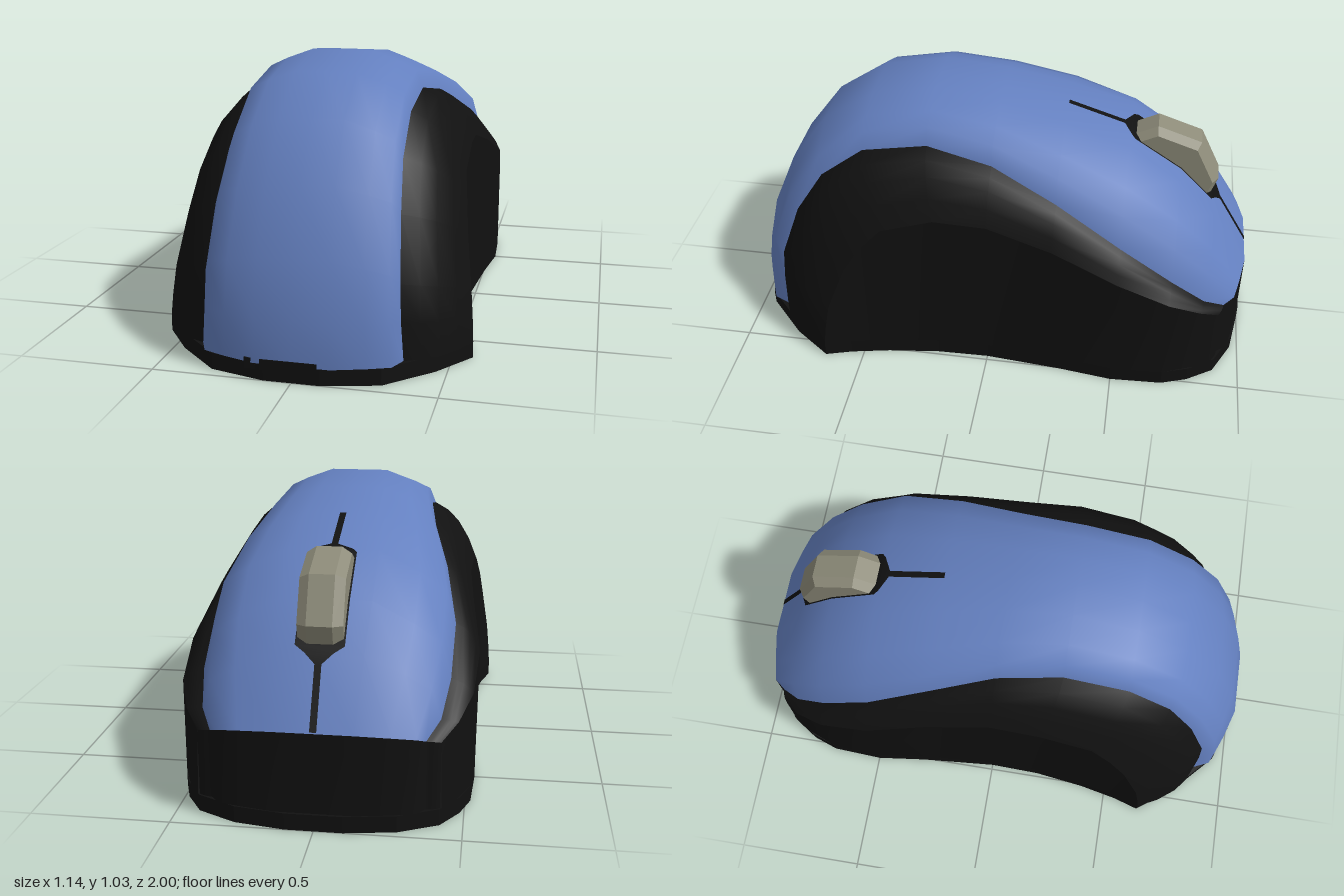
import * as THREE from 'three';

const BASE = 0.06;

// Stations from the heel, over the top, to the button end:
// spine [y, z], seam [x, y, z], crease [x, y, z]
const stations = [
  [[0.06, 1.0], [0.36, 0.06, 0.87], [0.57, 0.06, 0.65]],
  [[0.22, 0.998], [0.35, 0.2, 0.87], [0.565, 0.14, 0.64]],
  [[0.42, 0.95], [0.345, 0.33, 0.86], [0.555, 0.25, 0.62]],
  [[0.65, 0.85], [0.33, 0.55, 0.78], [0.53, 0.43, 0.55]],
  [[0.85, 0.7], [0.315, 0.72, 0.67], [0.515, 0.54, 0.48]],
  [[0.98, 0.5], [0.31, 0.85, 0.5], [0.5, 0.62, 0.4]],
  [[1.03, 0.25], [0.31, 0.895, 0.25], [0.495, 0.685, 0.2]],
  [[1.0, 0], [0.34, 0.85, 0], [0.485, 0.67, 0]],
  [[0.94, -0.25], [0.4, 0.745, -0.25], [0.505, 0.6, -0.25]],
  [[0.86, -0.5], [0.445, 0.6, -0.5], [0.535, 0.5, -0.5]],
  [[0.73, -0.7], [0.44, 0.46, -0.7], [0.52, 0.41, -0.7]],
  [[0.58, -0.85], [0.415, 0.36, -0.83], [0.475, 0.35, -0.82]],
  [[0.35, -0.99], [0.37, 0.31, -0.91], [0.42, 0.3, -0.89]],
];

// Half outline of the underside: [z, x]
const outline = [
  [-1, 0.1], [-0.97, 0.28], [-0.9, 0.42], [-0.8, 0.485], [-0.7, 0.52],
  [-0.5, 0.53], [-0.3, 0.505], [0, 0.48], [0.2, 0.485], [0.4, 0.51],
  [0.55, 0.54], [0.65, 0.57], [0.8, 0.46], [0.87, 0.385], [0.95, 0.3], [1, 0.1],
];

// Cross-section rules: [fraction of width, fraction of drop]
const crown = [[0, 0], [0.37, 0], [0.7, 0.28], [0.92, 0.52], [1, 1]];
const shoulder = [[0, 0], [0.3, 0.13], [0.55, 0.32], [0.8, 0.63], [1, 1]];

const sweep = (a, b, rule) => rule.map(([u, v]) => [
  a[0] + (b[0] - a[0]) * u,
  a[1] + (b[1] - a[1]) * v,
  a[2] + (b[2] - a[2]) * v,
]);
const mirrorRow = (row) => row.map(([x, y, z]) => [-x, y, z]).reverse();

// Piecewise linear lookup in a table sorted by its first entry
function lookup(table, t) {
  const i = Math.max(1, table.findIndex((p) => p[0] >= t));
  const [a, b] = [table[i - 1], table[i]];
  return a[1] + ((b[1] - a[1]) * (t - a[0])) / (b[0] - a[0]);
}

// Smooth surface through equal rows of points
function grid(rows, material, name) {
  const n = rows[0].length;
  const index = [];
  for (let k = 0; k < rows.length - 1; k++) {
    for (let j = 0; j < n - 1; j++) {
      const a = k * n + j;
      index.push(a, a + 1, a + n, a + 1, a + n + 1, a + n);
    }
  }
  const geometry = new THREE.BufferGeometry();
  geometry.setAttribute('position', new THREE.Float32BufferAttribute(rows.flat(2), 3));
  geometry.setIndex(index);
  geometry.computeVertexNormals();
  const mesh = new THREE.Mesh(geometry, material);
  mesh.name = name;
  return mesh;
}

export function createModel() {
  const group = new THREE.Group();
  group.name = 'computerMouse';
  const blue = new THREE.MeshStandardMaterial({ color: 0x6480c0, side: THREE.DoubleSide });
  const black = new THREE.MeshStandardMaterial({ color: 0x111111, side: THREE.DoubleSide });
  const wheelGrey = new THREE.MeshStandardMaterial({ color: 0x8e8c7a, flatShading: true });

  // Top shell: one strip from heel to button edge
  const halfRows = stations.map(([t, s]) => sweep([0, ...t], s, crown));
  const shellRows = halfRows.map((r) => [...mirrorRow(r), ...r.slice(1)]);
  group.add(grid(shellRows, blue, 'topShell'));

  // Rounded grips between the seam and the crease
  const gripRows = stations.map(([, s, c]) => sweep(s, c, shoulder));
  group.add(grid(gripRows, black, 'leftGrip'));
  group.add(grid(gripRows.map(mirrorRow), black, 'rightGrip'));

  // Side panels drop from the crease to the base
  const sideRows = stations.map(([, , c]) => [c, [lookup(outline, c[2]), BASE, c[2]]]);
  group.add(grid(sideRows, black, 'leftSidePanel'));
  group.add(grid(sideRows.map(mirrorRow), black, 'rightSidePanel'));

  // Wall under the button edge
  const last = stations.length - 1;
  const edge = [...halfRows[last], ...gripRows[last].slice(1)].reverse();
  const fullEdge = [...edge, ...mirrorRow(edge).slice(1)];
  const wallRows = fullEdge.map(([x, y, z]) => [[x, y, z], [x, BASE, z]]);
  group.add(grid(wallRows, black, 'buttonEndWall'));

  // Base plate
  const points = [
    ...outline.map(([z, x]) => new THREE.Vector2(x, -z)),
    ...outline.map(([z, x]) => new THREE.Vector2(-x, -z)).reverse(),
  ];
  const baseGeometry = new THREE.ExtrudeGeometry(new THREE.Shape(points), {
    depth: BASE, bevelEnabled: false,
  });
  baseGeometry.rotateX(-Math.PI / 2);
  const base = new THREE.Mesh(baseGeometry, black);
  base.name = 'basePlate';
  group.add(base);

  // Small tabs at the heel
  for (const [x, w] of [[-0.01, 0.2], [-0.147, 0.04]]) {
    const tab = new THREE.Mesh(new THREE.BoxGeometry(w, 0.04, 0.03), black);
    tab.position.set(x, 0.057, x < -0.1 ? 0.982 : 0.987);
    tab.name = 'heelTab';
    group.add(tab);
  }

  // Button gap, widening around the wheel: [z, half width]
  const spine = stations.slice(5).map(([[y, z]]) => [z, y]).reverse();
  const gap = [
    [-0.25, 0.012], [-0.47, 0.012], [-0.5, 0.07], [-0.515, 0.086], [-0.7, 0.086],
    [-0.83, 0.086], [-0.85, 0.05], [-0.87, 0.012], [-0.99, 0.012],
  ];
  const gapRows = gap.map(([z, w]) => {
    const y = lookup(spine, z) + 0.005;
    return [[-w, y, z], [w, y, z]];
  });
  group.add(grid(gapRows, black, 'buttonGap'));

  // Scroll wheel: eight-sided with chamfered rims
  const profile = [[0, -0.08], [0.212, -0.08], [0.235, -0.045], [0.235, 0.045], [0.212, 0.08], [0, 0.08]];
  const wheelGeometry = new THREE.LatheGeometry(profile.map((p) => new THREE.Vector2(...p)), 8);
  wheelGeometry.rotateZ(Math.PI / 2);
  const wheel = new THREE.Mesh(wheelGeometry, wheelGrey);
  wheel.position.set(0, 0.66, -0.615);
  wheel.rotation.x = 0.07;
  wheel.name = 'scrollWheel';
  group.add(wheel);

  return group;
}
